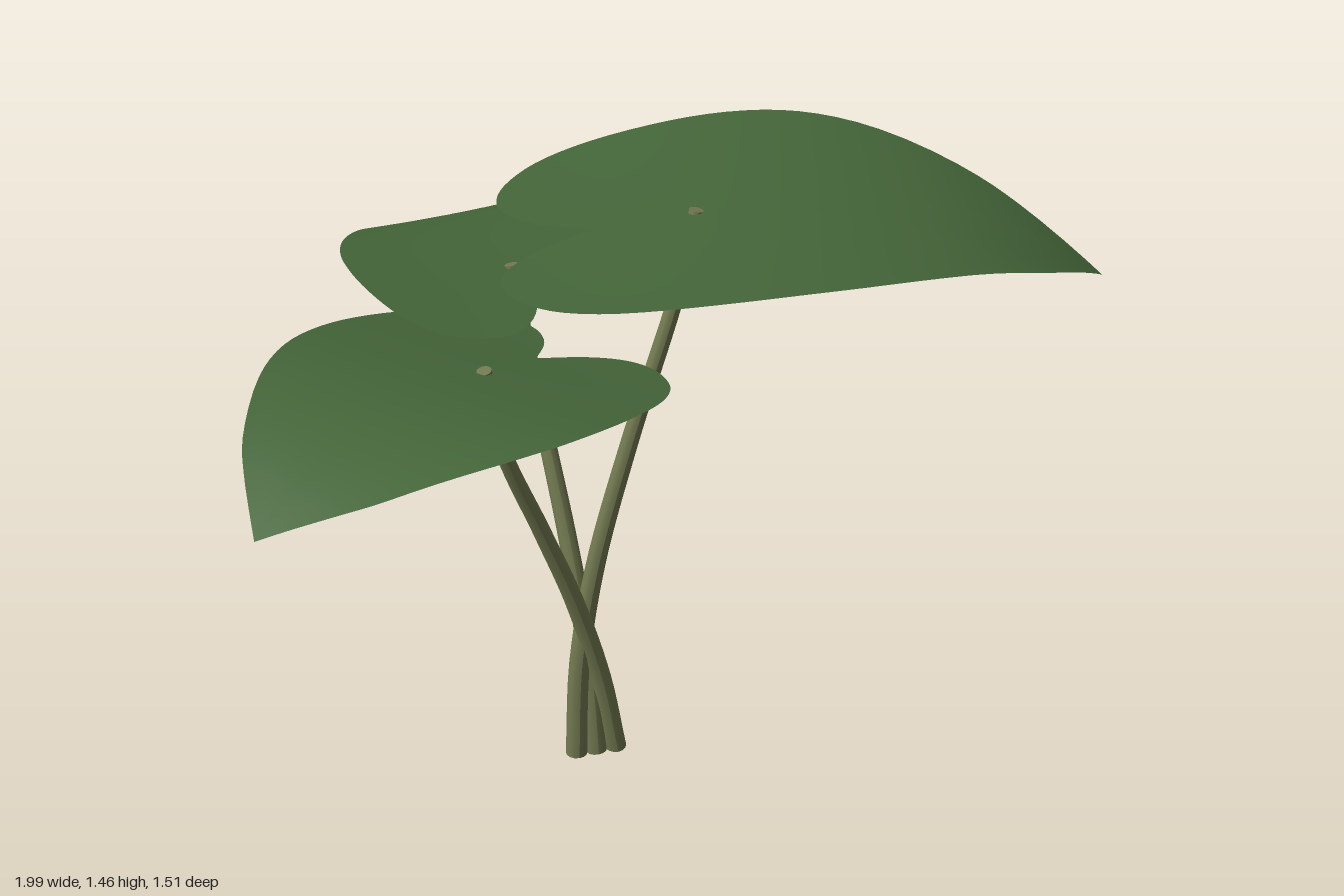
import * as THREE from 'three';

const V = (x, y, z) => new THREE.Vector3(x, y, z);

// Half of the heart-shaped outline: x runs to the tip, y is the half width
const HALF = [
  [-0.23, 0], [-0.35, 0.075], [-0.42, 0.16], [-0.44, 0.25], [-0.41, 0.35], [-0.33, 0.45],
  [-0.2, 0.52], [-0.02, 0.56], [0.15, 0.567], [0.31, 0.54], [0.48, 0.46], [0.68, 0.31],
  [0.79, 0.19], [0.93, 0],
];

// Full outline, mirrored across the midrib, from the notch round to the notch
function leafOutline() {
  const half = new THREE.SplineCurve(HALF.map(([x, y]) => new THREE.Vector2(x, y))).getPoints(48);
  const other = half.slice(1, -1).reverse().map((p) => new THREE.Vector2(p.x, -p.y));
  return [...half, ...other];
}

// Leaf sheet: rings growing from the stem joint, arched along the midrib and cupped across it
function leafGeometry(joint, tip, size) {
  const outline = leafOutline();
  const n = outline.length;
  const rings = 14;
  const angle = Math.atan2(tip[1] - joint.z, tip[0] - joint.x);
  const c = Math.cos(angle);
  const s = Math.sin(angle);
  const pos = [];
  const index = [];
  const add = (a, b) => {
    const h = 0.1295 * a - 0.1222 * a * a - 0.242 * a ** 3 + 0.02 * (b / 0.56) ** 2;
    pos.push(joint.x + size * (a * c - b * s), joint.y + size * h, joint.z + size * (a * s + b * c));
  };
  add(0, 0);
  for (let r = 1; r <= rings; r++) {
    for (const p of outline) add((p.x * r) / rings, (p.y * r) / rings);
  }
  for (let j = 0; j < n; j++) {
    const k = (j + 1) % n;
    index.push(0, 1 + j, 1 + k);
    for (let r = 0; r < rings - 1; r++) {
      const i = 1 + r * n;
      const o = i + n;
      index.push(i + j, o + j, o + k, i + j, o + k, i + k);
    }
  }
  const g = new THREE.BufferGeometry();
  g.setAttribute('position', new THREE.Float32BufferAttribute(pos, 3));
  g.setIndex(index);
  g.computeVertexNormals();
  return g;
}

// Stem: a capped, tapered cylinder bent along a curve
function stemGeometry(points) {
  const curve = new THREE.CatmullRomCurve3(points);
  const g = new THREE.CylinderGeometry(0.017, 0.027, 1, 14, 28);
  const p = g.attributes.position;
  for (let i = 0; i < p.count; i++) {
    const u = THREE.MathUtils.clamp(p.getY(i) + 0.5, 0, 1);
    const t = curve.getTangentAt(u);
    const side = V(1, 0, 0).addScaledVector(t, -t.x).normalize();
    const front = side.clone().cross(t);
    const q = curve.getPointAt(u).addScaledVector(side, p.getX(i)).addScaledVector(front, p.getZ(i));
    p.setXYZ(i, q.x, Math.max(q.y, 0), q.z);
  }
  g.computeVertexNormals();
  return g;
}

// Each plant shoot: leaf joint, leaf tip (x, z), leaf size and stem path
const SHOOTS = [
  {
    name: 'large', joint: V(0.08, 1.42, 0.165), tip: [0.99, 0.355], size: 1,
    stem: [V(-0.2, 0, 0.115), V(-0.19, 0.27, 0.12), V(-0.15, 0.54, 0.13), V(-0.07, 0.86, 0.145),
      V(0.04, 1.235, 0.16), V(0.08, 1.425, 0.165)],
  },
  {
    name: 'medium', joint: V(-0.435, 1.14, 0.27), tip: [-1, 0.65], size: 0.73,
    stem: [V(-0.1, 0, 0.115), V(-0.14, 0.22, 0.125), V(-0.21, 0.46, 0.148), V(-0.29, 0.67, 0.178),
      V(-0.395, 0.94, 0.235), V(-0.435, 1.145, 0.27)],
  },
  {
    name: 'small', joint: V(-0.27, 1.2, -0.16), tip: [-0.39, -0.75], size: 0.645,
    stem: [V(-0.15, 0, 0.115), V(-0.158, 0.18, 0.105), V(-0.175, 0.38, 0.08), V(-0.195, 0.58, 0.025),
      V(-0.228, 0.84, -0.055), V(-0.255, 1.08, -0.14), V(-0.27, 1.205, -0.16)],
  },
];

export function createModel() {
  const leafGreen = new THREE.MeshStandardMaterial({ color: 0x446539, side: THREE.DoubleSide });
  leafGreen.name = 'leafGreen';
  const stemOlive = new THREE.MeshStandardMaterial({ color: 0x727a50 });
  stemOlive.name = 'stemOlive';

  const plant = new THREE.Group();
  plant.name = 'plant';
  for (const { name, joint, tip, size, stem } of SHOOTS) {
    const leafMesh = new THREE.Mesh(leafGeometry(joint, tip, size), leafGreen);
    leafMesh.name = `${name}Leaf`;
    const stemMesh = new THREE.Mesh(stemGeometry(stem), stemOlive);
    stemMesh.name = `${name}Stem`;
    plant.add(leafMesh, stemMesh);
  }
  return plant;
}
